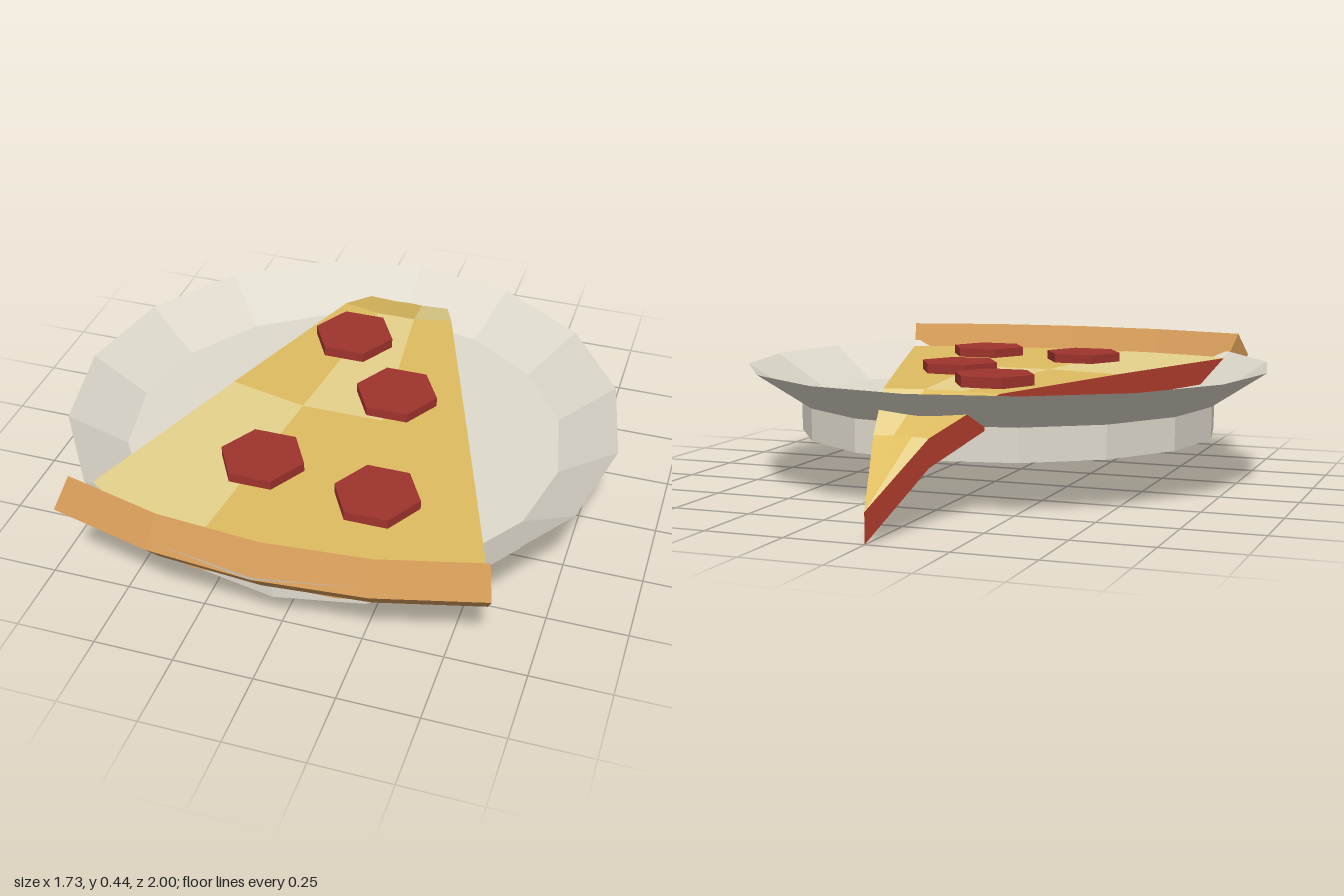
import * as THREE from 'three';

const HALF = Math.atan(0.35); // half the opening angle of the slice

const mat = (color) => new THREE.MeshStandardMaterial({ color, flatShading: true, side: THREE.DoubleSide });

// Point at radius r and angle a around the tip of the slice
const polar = (r, a, y) => [r * Math.sin(a), y, -1 + r * Math.cos(a)];

// Mesh from a list of four-cornered faces (counter-clockwise)
function quadMesh(name, quads, material) {
  const pos = [];
  for (const [a, b, c, d] of quads) pos.push(...a, ...b, ...c, ...a, ...c, ...d);
  const geo = new THREE.BufferGeometry();
  geo.setAttribute('position', new THREE.Float32BufferAttribute(pos, 3));
  geo.computeVertexNormals();
  const mesh = new THREE.Mesh(geo, material);
  mesh.name = name;
  return mesh;
}

// Plate: faceted base disc with a thin flared rim
function makePlate() {
  const plate = new THREE.Group();
  plate.name = 'plate';
  const material = mat(0xdfdacd);
  const base = new THREE.Mesh(new THREE.CylinderGeometry(0.69, 0.69, 0.105, 16), material);
  base.name = 'plateBase';
  base.position.y = 0.2125;
  const rim = new THREE.Mesh(new THREE.CylinderGeometry(0.865, 0.69, 0.115, 16, 1, true), material);
  rim.name = 'plateRim';
  rim.position.y = 0.3225;
  plate.add(base, rim);
  plate.position.z = 0.13;
  return plate;
}

// Slice: a wedge whose tip droops over the edge of the plate
function makeSlice() {
  const slice = new THREE.Group();
  slice.name = 'slice';
  // radius from tip, top height, bottom height
  const rows = [
    [0, 0.09, 0], [0.26, 0.26, 0.175], [0.57, 0.355, 0.275], [1.17, 0.36, 0.28], [1.905, 0.36, 0.28],
  ];
  // 1 marks a paler patch of cheese
  const pale = [[1, 0, 0], [0, 0, 1], [0, 1, 0], [1, 0, 0]];
  const cheese = [[], []], under = [], sides = [];
  for (let i = 0; i < 4; i++) {
    const [r0, t0, b0] = rows[i], [r1, t1, b1] = rows[i + 1];
    for (let j = 0; j < 3; j++) {
      const a0 = HALF * (-1 + (j * 2) / 3), a1 = HALF * (-1 + ((j + 1) * 2) / 3);
      cheese[pale[i][j]].push([polar(r0, a0, t0), polar(r1, a0, t1), polar(r1, a1, t1), polar(r0, a1, t0)]);
      under.push([polar(r0, a1, b0), polar(r1, a1, b1), polar(r1, a0, b1), polar(r0, a0, b0)]);
    }
    for (const s of [-1, 1]) {
      const a = s * HALF;
      const q = [polar(r0, a, b0), polar(r1, a, b1), polar(r1, a, t1), polar(r0, a, t0)];
      sides.push(s < 0 ? q : q.reverse());
    }
  }
  slice.add(
    quadMesh('cheese', cheese[0], mat(0xdfbc60)),
    quadMesh('paleCheese', cheese[1], mat(0xe6d28c)),
    quadMesh('sauceSides', sides, mat(0xb8402f)),
    quadMesh('sliceUnderside', under, mat(0xcc9555)),
  );
  return slice;
}

// Crust: diamond cross-section swept along the outer arc
function makeCrust() {
  const profile = [[1.835, 0.36], [1.905, 0.44], [1.975, 0.36], [1.905, 0.28]];
  const ring = (a) => profile.map(([r, y]) => polar(r, a, y));
  const quads = [];
  for (let i = 0; i < 4; i++) {
    const p = ring(HALF * (-1 + i / 2)), q = ring(HALF * (-1 + (i + 1) / 2));
    for (let k = 0; k < 4; k++) {
      const n = (k + 1) % 4;
      quads.push([p[k], p[n], q[n], q[k]]);
    }
  }
  quads.push(ring(-HALF).reverse(), ring(HALF));
  return quadMesh('crust', quads, mat(0xcc9555));
}

export function createModel() {
  const model = new THREE.Group();
  model.name = 'pizzaOnPlate';
  model.add(makePlate(), makeSlice(), makeCrust());

  // Hexagonal toppings
  const red = mat(0x9f332d);
  const hex = new THREE.CylinderGeometry(0.132, 0.132, 0.04, 6);
  hex.rotateY(Math.PI / 6);
  for (const [x, z] of [[-0.09, -0.245], [0.14, 0.035], [-0.15, 0.475], [0.23, 0.54]]) {
    const topping = new THREE.Mesh(hex, red);
    topping.name = 'pepperoni';
    topping.position.set(x, 0.37, z);
    model.add(topping);
  }
  return model;
}
